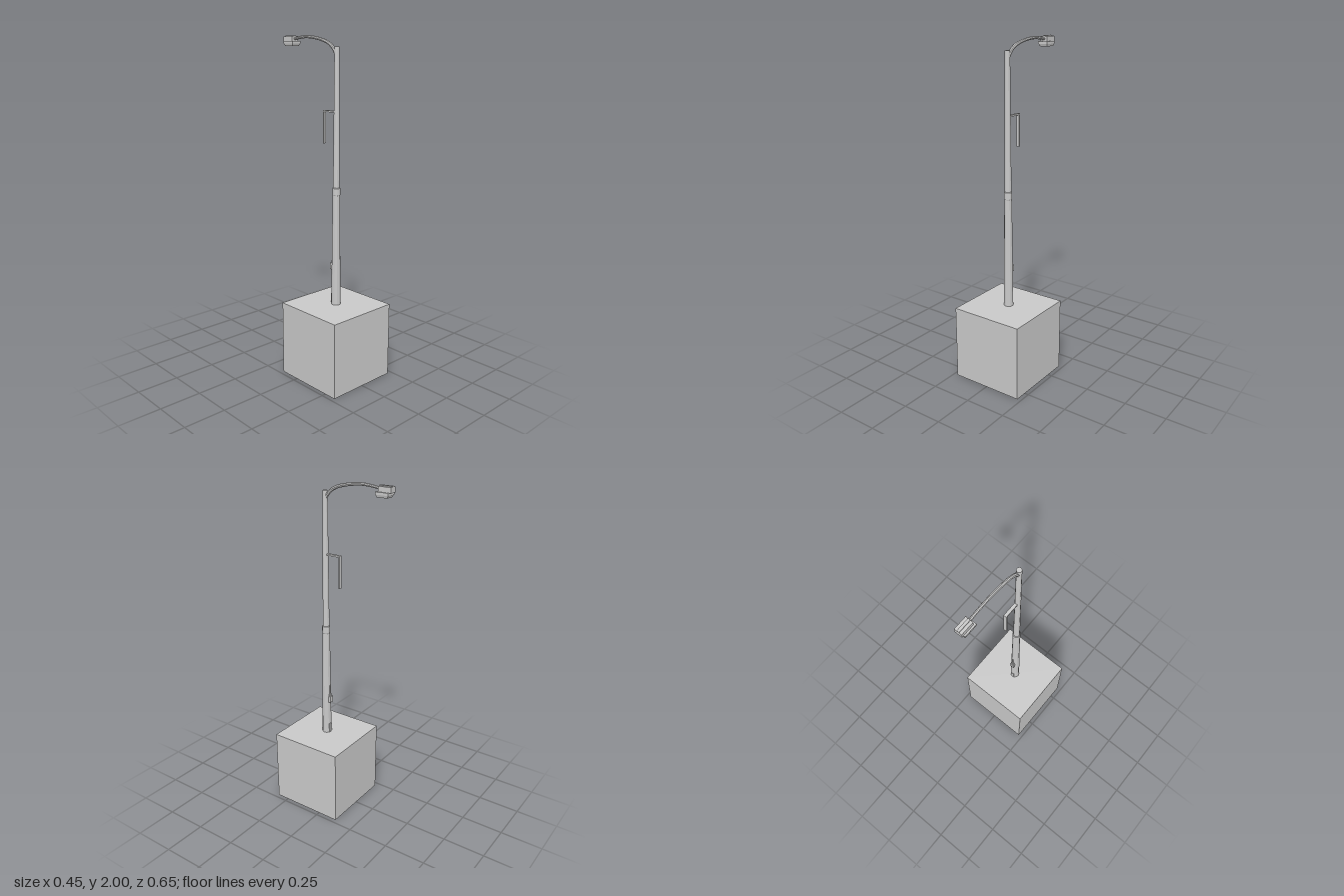
import * as THREE from 'three';

export function createModel() {
  const model = new THREE.Group();
  const grey = new THREE.MeshStandardMaterial({ color: 0xc8c8c8, flatShading: true });
  grey.name = 'light grey';

  const add = (name, geometry, x = 0, y = 0, z = 0) => {
    const mesh = new THREE.Mesh(geometry, grey);
    mesh.name = name;
    mesh.position.set(x, y, z);
    model.add(mesh);
    return mesh;
  };
  // Box given by its lower and upper corners
  const box = (name, [x0, y0, z0], [x1, y1, z1]) =>
    add(name, new THREE.BoxGeometry(x1 - x0, y1 - y0, z1 - z0),
      (x0 + x1) / 2, (y0 + y1) / 2, (z0 + z1) / 2);
  // Box whose bottom face is narrowed by the given factor
  const taperedBox = (name, a, b, factor) => {
    const mesh = box(name, a, b);
    const p = mesh.geometry.attributes.position;
    for (let i = 0; i < p.count; i++) {
      if (p.getY(i) < 0) p.setXYZ(i, p.getX(i) * factor, p.getY(i), p.getZ(i) * factor);
    }
    mesh.geometry.computeVertexNormals();
    return mesh;
  };

  const poleZ = 0.1;

  // Square foundation
  box('foundation', [-0.225, 0, -0.125], [0.225, 0.45, 0.325]);

  // Tapered mast with a joint sleeve at mid height
  const profile = [
    [0.028, 0.45], [0.022, 1.11], [0.0235, 1.113], [0.0235, 1.153],
    [0.0195, 1.156], [0.0145, 1.937], [0, 1.937],
  ].map(([r, y]) => new THREE.Vector2(r, y));
  add('mast', new THREE.LatheGeometry(profile, 12), 0, 0, poleZ);

  // Access hatch and small service box with its conduit on the back of the mast
  box('accessHatch', [-0.011, 0.455, 0.071], [0.011, 0.51, 0.08]);
  box('serviceBox', [-0.013, 0.66, 0.064], [0.013, 0.7, 0.082]);
  box('serviceBoxCap', [-0.009, 0.7, 0.069], [0.009, 0.715, 0.082]);
  box('conduit', [-0.004, 0.715, 0.072], [0.004, 0.77, 0.082]);

  // Hanging bracket
  box('bracketArm', [-0.009, 1.58, -0.004], [0.009, 1.589, 0.086]);
  box('bracketDrop', [-0.009, 1.4, -0.004], [0.009, 1.58, 0.004]);

  // Curved lamp arm, thinning toward the lamp
  const curve = new THREE.CatmullRomCurve3([
    [1.9, 0.094], [1.932, 0.07], [1.958, 0.032], [1.975, -0.02],
    [1.987, -0.085], [1.992, -0.15], [1.988, -0.205], [1.981, -0.255],
  ].map(([y, z]) => new THREE.Vector3(0, y, z)));
  const rings = 16, sides = 8;
  const arm = new THREE.TubeGeometry(curve, rings, 1, sides);
  const p = arm.attributes.position;
  const v = new THREE.Vector3();
  for (let i = 0; i < p.count; i++) {
    const t = Math.floor(i / (sides + 1)) / rings;
    const centre = curve.getPointAt(t);
    v.fromBufferAttribute(p, i).sub(centre).multiplyScalar(0.0105 - 0.0025 * t).add(centre);
    p.setXYZ(i, v.x, v.y, v.z);
  }
  arm.computeVertexNormals();
  add('lampArm', arm);

  // Lamp head: housing, rim and narrowed lens
  box('lampHousing', [-0.022, 1.965, -0.327], [0.022, 1.995, -0.25]);
  box('lampRidge', [-0.007, 1.995, -0.327], [0.007, 2, -0.25]);
  box('lampRim', [-0.031, 1.953, -0.317], [0.031, 1.967, -0.238]);
  taperedBox('lampLens', [-0.029, 1.939, -0.315], [0.029, 1.953, -0.24], 0.85);

  return model;
}
